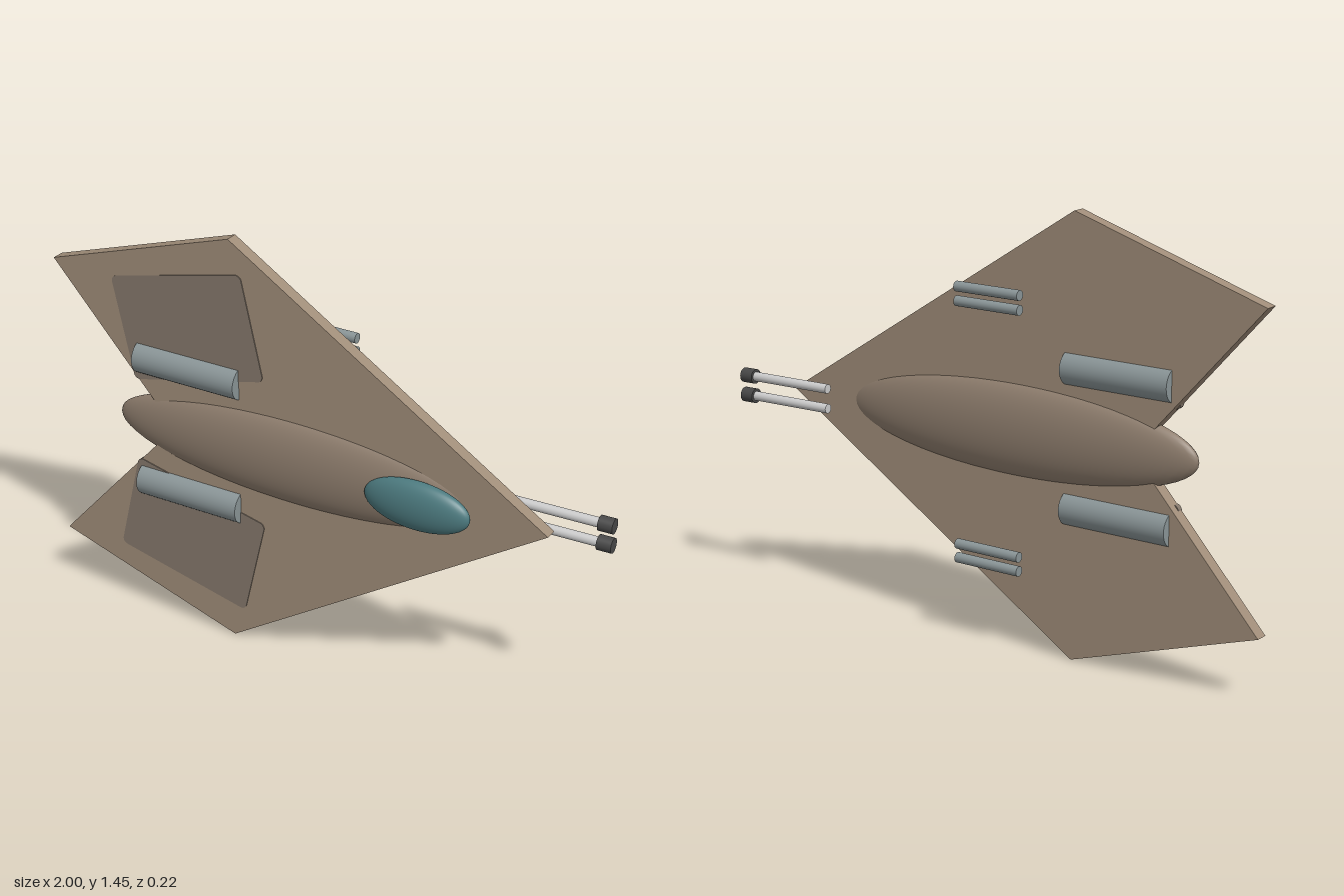
import * as THREE from 'three';

const CY = 0.73; // height of the craft's long axis
const CZ = 0.006; // depth of the wing's mid plane

const paint = (color) => new THREE.MeshStandardMaterial({ color });

export function createModel() {
  const model = new THREE.Group();
  const wingMat = paint(0xa08d79);
  const hullMat = paint(0x8f7e6e);
  const panelMat = paint(0x85786c);
  const glassMat = paint(0x4d7b80);
  const metalMat = paint(0x8a9597);
  const barrelMat = paint(0xcccccc);
  const muzzleMat = paint(0x484848);

  const add = (name, geometry, material, parent = model) => {
    const mesh = new THREE.Mesh(geometry, material);
    mesh.name = name;
    parent.add(mesh);
    return mesh;
  };

  const ellipsoid = (name, material, center, radii) => {
    const mesh = add(name, new THREE.SphereGeometry(1, 48, 32), material);
    mesh.position.set(...center);
    mesh.scale.set(...radii);
  };

  // Cylinder lying along x, from x0 to x1
  const rod = (name, material, x0, x1, y, z, radius, parent) => {
    const geometry = new THREE.CylinderGeometry(radius, radius, x1 - x0, 32).rotateZ(-Math.PI / 2);
    const mesh = add(name, geometry, material, parent);
    mesh.position.set((x0 + x1) / 2, y, z);
    return mesh;
  };

  // Arrow-shaped wing plate with a notched tail
  const outline = [[0.83, 0], [-0.315, 0.727], [-1, 0.51], [-0.54, 0], [-1, -0.51], [-0.315, -0.727]];
  const wingShape = new THREE.Shape(outline.map(([x, y]) => new THREE.Vector2(x, y)));
  const wing = add('wing', new THREE.ExtrudeGeometry(wingShape, { depth: 0.044, bevelEnabled: false }), wingMat);
  wing.position.set(0, CY, CZ - 0.022);

  // Fuselage and cockpit canopy
  ellipsoid('fuselage', hullMat, [-0.085, CY, CZ - 0.002], [0.682, 0.158, 0.065]);
  ellipsoid('canopy', glassMat, [0.393, CY, 0.062], [0.187, 0.085, 0.044]);

  // Rounded panel shape, centred on the origin
  const w = 0.256, h = 0.181, r = 0.02;
  const panelShape = new THREE.Shape();
  panelShape.absarc(w - r, h - r, r, 0, Math.PI / 2);
  panelShape.absarc(r - w, h - r, r, Math.PI / 2, Math.PI);
  panelShape.absarc(r - w, r - h, r, Math.PI, Math.PI * 1.5);
  panelShape.absarc(w - r, r - h, r, Math.PI * 1.5, Math.PI * 2);
  const panelGeometry = new THREE.ExtrudeGeometry(panelShape, { depth: 0.02, bevelEnabled: false, curveSegments: 6 });

  for (const side of [1, -1]) {
    const label = side > 0 ? 'upper' : 'lower';

    // Dark panel on the front face of the wing
    const panel = add(`${label}Panel`, panelGeometry, panelMat);
    panel.position.set(-0.479, CY + side * 0.381, 0.011);
    panel.rotation.z = side * 0.23;

    // Engine set through the wing
    rod(`${label}Engine`, metalMat, -0.676, -0.283, CY + side * 0.228, 0.01, 0.057);

    // Twin wing guns on the back face
    for (const offset of [0.403, 0.45]) {
      rod(`${label}WingGun`, metalMat, -0.147, 0.1, CY + side * offset, -0.067, 0.017);
    }

    // Nose gun: slightly tilted barrel with a dark muzzle
    const gun = new THREE.Group();
    gun.name = `${label}NoseGun`;
    gun.position.set(0.64, CY + side * 0.034, -0.07);
    gun.rotation.y = 0.04;
    rod('barrel', barrelMat, 0, 0.33, 0, 0, 0.016, gun);
    rod('muzzle', muzzleMat, 0.31, 0.359, 0, 0, 0.025, gun);
    model.add(gun);
  }

  return model;
}
